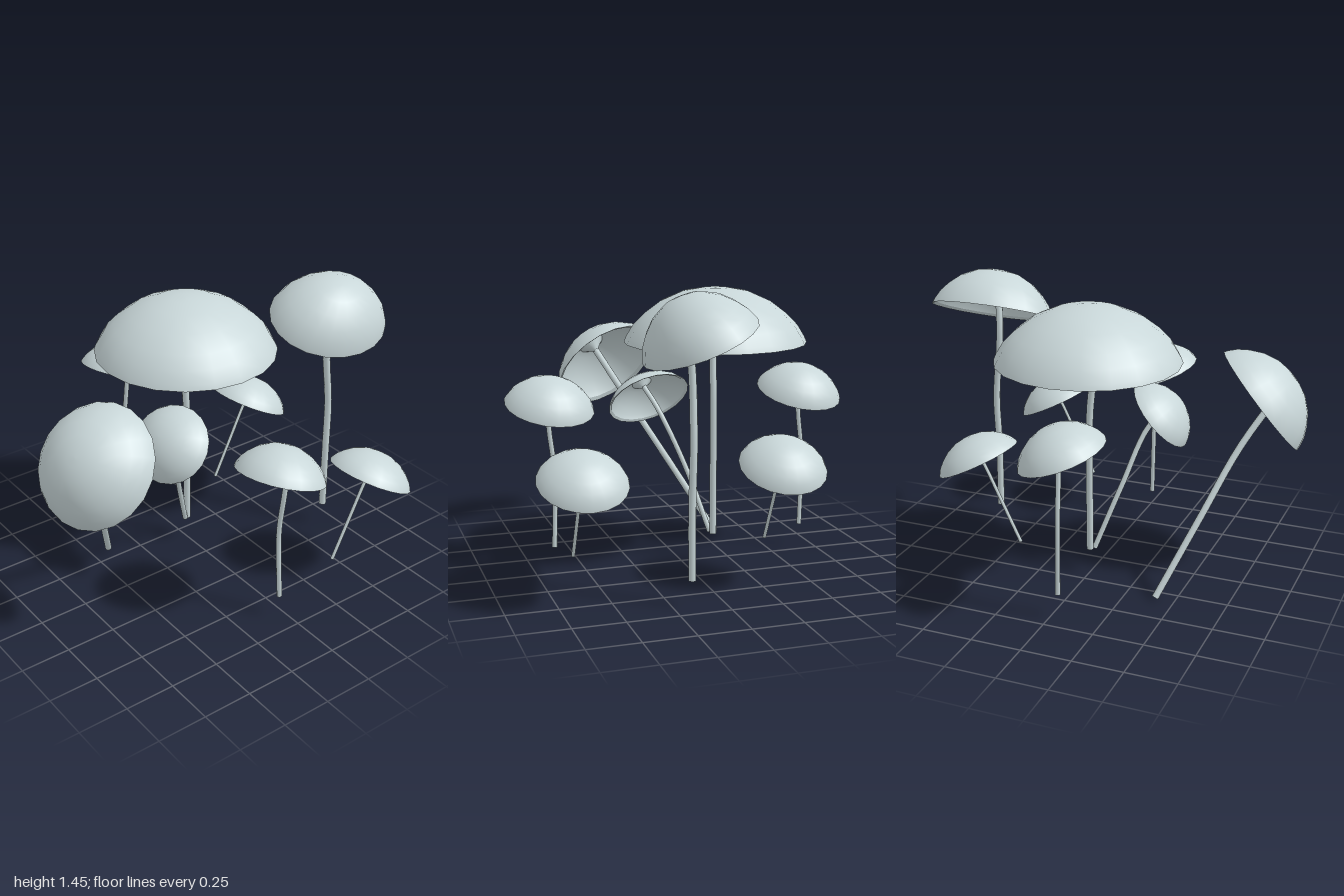
import * as THREE from 'three';

const SIDES = 20;
const paleGrey = new THREE.MeshStandardMaterial({ color: 0xc8d6d8 });
paleGrey.name = 'paleGrey';

// Unit profiles, scaled per mushroom to radius and height
const toPoints = (list) => list.map(([r, y]) => new THREE.Vector2(r, y));
const DOME = toPoints([
  [1, 0], [0.975, 0.1], [0.9, 0.31], [0.78, 0.52], [0.6, 0.75], [0.36, 0.93], [0.14, 0.995], [0, 1],
]);
const RIM = toPoints([[0.93, 0.06], [1, 0]]);
// Flared collar around the stem, then the hollow inside of the cap
const COLLAR = toPoints([[0.04, 0.6], [0.09, 0.68], [0.2, 0.84], [0.24, 0.88]]);
const HOLLOW = toPoints([[0.24, 0.88], [0.36, 0.84], [0.57, 0.68], [0.74, 0.46], [0.87, 0.22], [0.93, 0.06]]);

function part(name, geometry) {
  const mesh = new THREE.Mesh(geometry, paleGrey);
  mesh.name = name;
  return mesh;
}

// Cap tilted so its axis follows the given direction
function makeCap({ center, axis, rx, rz, h }) {
  const cap = new THREE.Group();
  cap.name = 'cap';
  for (const [name, profile] of [['capDome', DOME], ['capRim', RIM], ['capCollar', COLLAR], ['capHollow', HOLLOW]]) {
    cap.add(part(name, new THREE.LatheGeometry(profile, SIDES).scale(rx, h, rz)));
  }
  const y = new THREE.Vector3(...axis).normalize();
  const z = new THREE.Vector3(0, 0, 1).addScaledVector(y, -y.z).normalize();
  const x = new THREE.Vector3().crossVectors(y, z);
  cap.quaternion.setFromRotationMatrix(new THREE.Matrix4().makeBasis(x, y, z));
  cap.position.set(...center);
  return cap;
}

// Bent stem running up into the collar, closed at the foot
function makeStem({ center, axis, h, stem, r }) {
  const tip = new THREE.Vector3(...center)
    .addScaledVector(new THREE.Vector3(...axis).normalize(), h * 0.85);
  const points = [...stem.map((p) => new THREE.Vector3(...p)), tip];
  const curve = new THREE.CatmullRomCurve3(points);
  const group = new THREE.Group();
  group.name = 'stem';
  group.add(part('stemShaft', new THREE.TubeGeometry(curve, 16, r, 8)));
  const foot = part('stemFoot', new THREE.CircleGeometry(r, 8));
  foot.position.copy(points[0]);
  foot.quaternion.setFromUnitVectors(new THREE.Vector3(0, 0, 1), curve.getTangent(0).negate());
  group.add(foot);
  return group;
}

function makeMushroom(name, spec) {
  const group = new THREE.Group();
  group.name = name;
  group.add(makeCap(spec), makeStem(spec));
  return group;
}

export function createModel() {
  const model = new THREE.Group();
  model.name = 'mushroomCluster';

  model.add(makeMushroom('largeMushroom', {
    center: [0.005, 1.125, -0.175], axis: [0, 1, 0], rx: 0.455, rz: 0.455, h: 0.27,
    stem: [[0, 0.13, -0.17], [0.002, 0.5, -0.17], [0, 0.85, -0.17], [-0.02, 1.1, -0.172]], r: 0.019,
  }));
  model.add(makeMushroom('leftMushroom', {
    center: [0.665, 1.225, 0.13], axis: [0, 0.92, 0.39], rx: 0.325, rz: 0.27, h: 0.216,
    stem: [[0.665, 0.13, 0.165], [0.665, 0.5, 0.165], [0.67, 0.75, 0.16], [0.64, 1.11, 0.16]], r: 0.019,
  }));
  model.add(makeMushroom('rightMushroom', {
    center: [-0.757, 0.905, 0.185], axis: [-0.72, 0.62, 0.31], rx: 0.3, rz: 0.295, h: 0.2,
    stem: [[-0.405, 0.01, -0.325], [-0.56, 0.38, -0.115], [-0.695, 0.7, 0.07]], r: 0.018,
  }));
  model.add(makeMushroom('leaningMushroom', {
    center: [-0.275, 0.8, 0.087], axis: [-0.72, 0.66, 0.15], rx: 0.195, rz: 0.22, h: 0.12,
    stem: [[-0.02, 0.135, -0.16], [-0.13, 0.46, -0.065], [-0.23, 0.75, 0.05]], r: 0.014,
  }));

  // Matching small mushrooms in front and behind
  for (const [side, z] of [['front', 0.655], ['back', -0.663]]) {
    model.add(makeMushroom(side + 'MiddleMushroom', {
      center: [-0.067, 0.835, z], axis: [0.31, 0.94, -0.1], rx: 0.213, rz: 0.223, h: 0.14,
      stem: [[-0.04, 0.125, z - 0.005], [-0.048, 0.5, z - 0.015], [-0.042, 0.78, z + 0.012]], r: 0.013,
    }));
  }
  for (const [side, z] of [['front', 0.637], ['back', -0.33]]) {
    model.add(makeMushroom(side + 'LeftMushroom', {
      center: [0.532, 0.598, z], axis: [0.44, 0.9, 0], rx: 0.211, rz: 0.213, h: 0.124,
      stem: [[0.31, 0.185, z], [0.41, 0.39, z], [0.515, 0.6, z]], r: 0.009,
    }));
  }
  return model;
}
